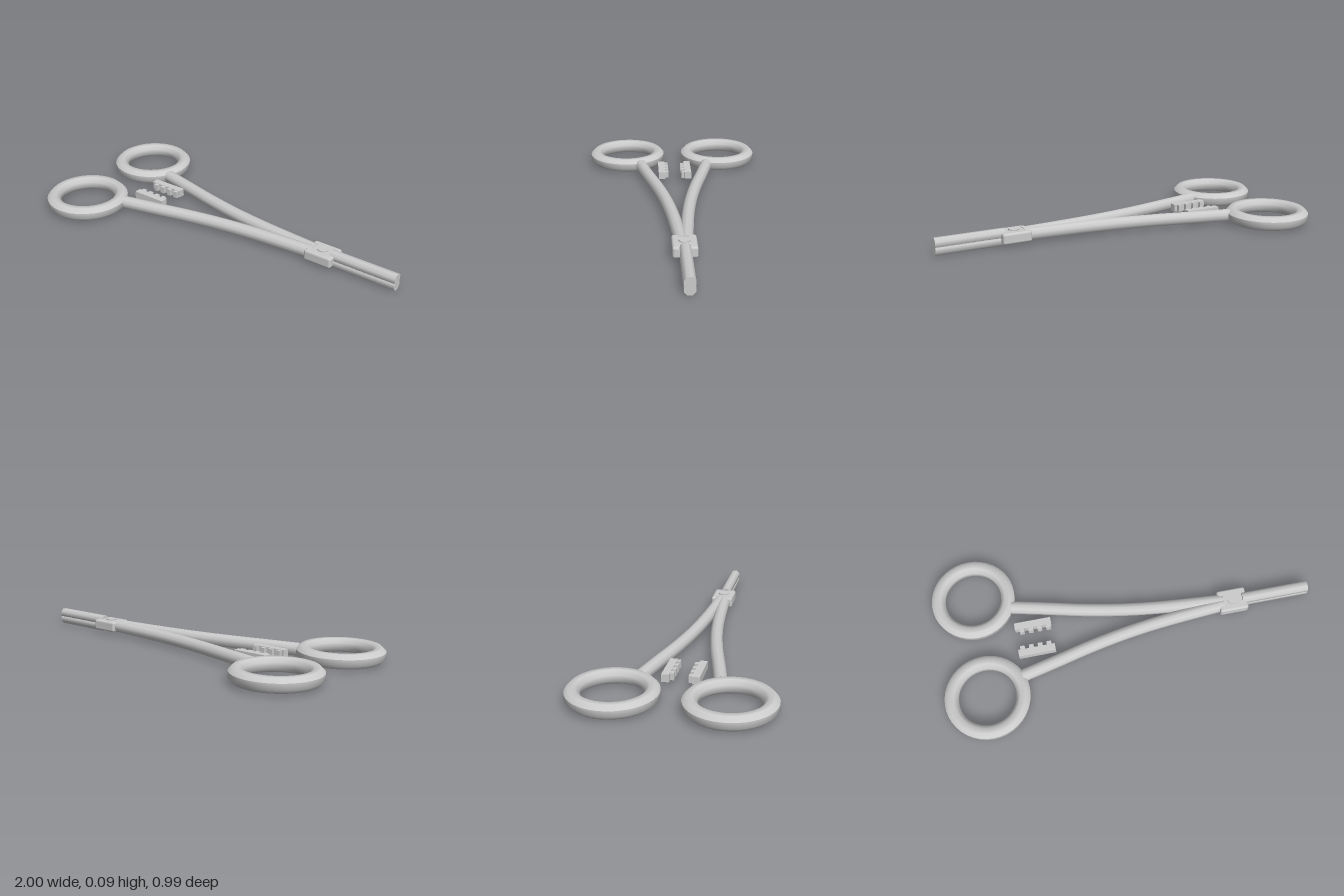
import * as THREE from 'three';
import { RoundedBoxGeometry } from 'three/addons/geometries/RoundedBoxGeometry.js';

const MID = 0.044; // height of the instrument's centre plane
const material = new THREE.MeshStandardMaterial({ color: 0xcccccc });

function add(parent, name, geometry, x = 0, y = 0, z = 0) {
  const mesh = new THREE.Mesh(geometry, material);
  mesh.name = name;
  mesh.position.set(x, y, z);
  parent.add(mesh);
  return mesh;
}

// Finger ring: octagonal section, flat faces up and outward, spun round y
function ringGeometry(major, apothem) {
  const r = apothem / Math.cos(Math.PI / 8);
  const points = [];
  for (let i = 0; i <= 8; i++) {
    const a = Math.PI / 8 + (i * Math.PI) / 4;
    points.push(new THREE.Vector2(major + r * Math.cos(a), r * Math.sin(a)));
  }
  return new THREE.LatheGeometry(points, 40);
}

// Curved handle with flat caps at both ends
function addShank(parent, side) {
  const curve = new THREE.CatmullRomCurve3(
    [[-0.585, 0.195], [-0.4, 0.152], [-0.2, 0.104], [0, 0.066], [0.2, 0.04], [0.54, 0.012]]
      .map(([x, z]) => new THREE.Vector3(x, 0, side * z)));
  const radius = 0.034;
  add(parent, 'shank', new THREE.TubeGeometry(curve, 32, radius, 10), 0, MID, 0);
  for (const t of [0, 1]) {
    const p = curve.getPointAt(t);
    const direction = curve.getTangentAt(t).multiplyScalar(t ? 1 : -1);
    const cap = add(parent, 'shankCap', new THREE.CircleGeometry(radius, 10), p.x, MID, p.z);
    cap.quaternion.setFromUnitVectors(new THREE.Vector3(0, 0, 1), direction);
  }
}

// Locking bar with teeth that point to the centre line
function addRatchet(parent, side) {
  const ratchet = new THREE.Group();
  ratchet.name = 'ratchet';
  add(ratchet, 'ratchetBar', new THREE.BoxGeometry(0.195, 0.04, 0.038), -0.487, MID, side * 0.075);
  for (let i = 0; i < 4; i++) {
    const x = -0.56 + i * 0.047 + (side < 0 ? 0.012 : 0);
    add(ratchet, 'ratchetTooth', new THREE.BoxGeometry(0.025, 0.036, 0.026), x, MID, side * 0.05);
  }
  parent.add(ratchet);
}

export function createModel() {
  const model = new THREE.Group();
  model.name = 'clamp';

  // Mirrored handles
  for (const side of [1, -1]) {
    const handle = new THREE.Group();
    handle.name = side > 0 ? 'frontHandle' : 'backHandle';
    add(handle, 'fingerRing', ringGeometry(0.186, 0.036), -0.778, MID, side * 0.275);
    addShank(handle, side);
    addRatchet(handle, side);
    model.add(handle);
  }

  // Box joint and pivot screw
  add(model, 'boxJoint', new RoundedBoxGeometry(0.155, 0.058, 0.122, 2, 0.012), 0.588, MID, 0);
  add(model, 'pivotScrew', new THREE.CylinderGeometry(0.028, 0.028, 0.07, 20), 0.588, MID, 0);

  // Upper and lower jaws
  const apothem = 0.027;
  const jawRadius = apothem / Math.cos(Math.PI / 8);
  for (const side of [1, -1]) {
    const jaw = new THREE.CylinderGeometry(jawRadius, jawRadius, 0.36, 8);
    jaw.rotateY(Math.PI / 8).rotateZ(-Math.PI / 2);
    add(model, side > 0 ? 'upperJaw' : 'lowerJaw', jaw, 0.82, MID + side * 0.0165, 0);
  }

  // Gripping teeth along the seam between the jaws
  for (let i = 0; i < 8; i++) {
    add(model, 'jawTooth', new THREE.BoxGeometry(0.018, 0.012, 0.046), 0.70 + i * 0.0325, MID, 0);
  }
  return model;
}
